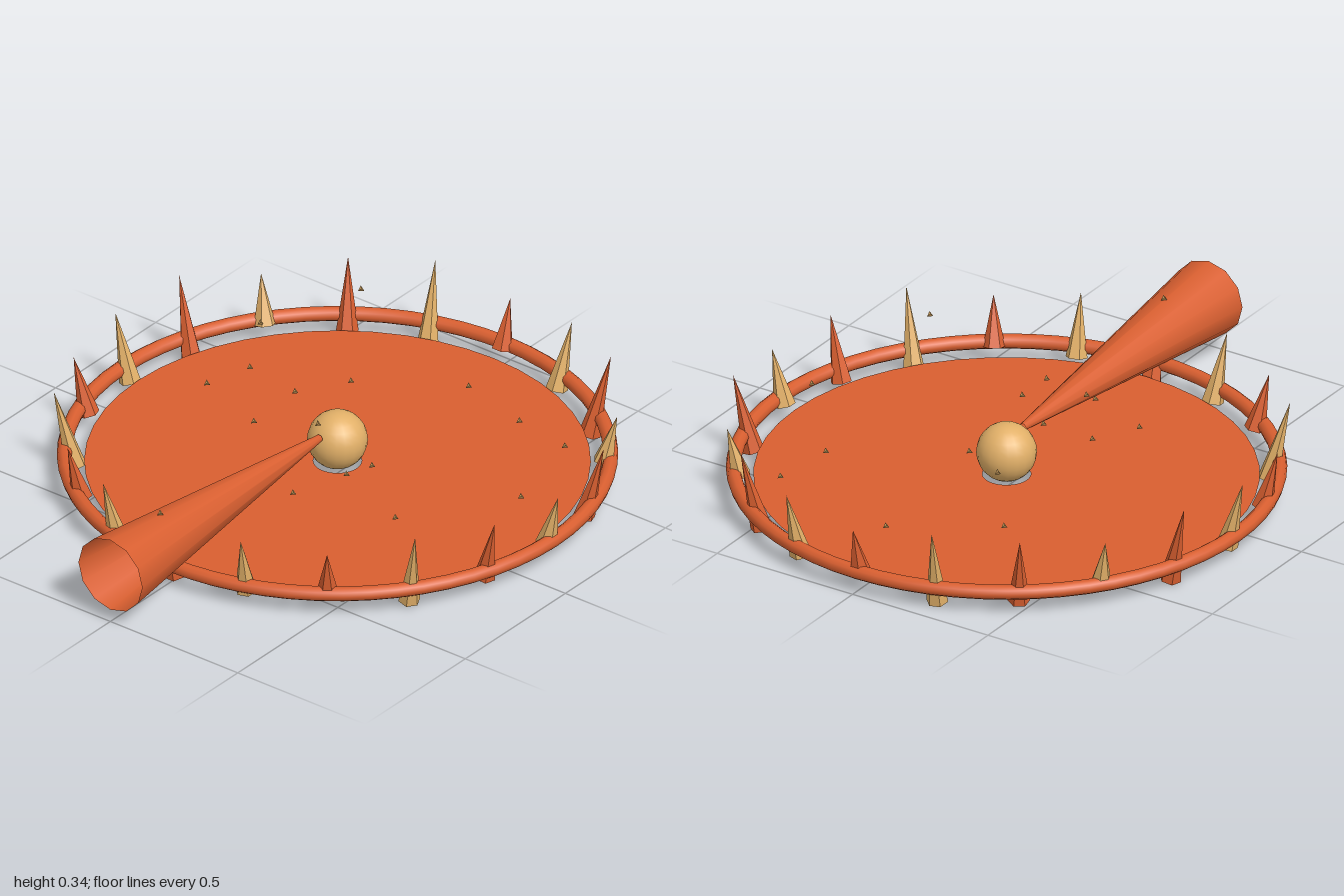
import * as THREE from 'three';

const red = new THREE.MeshStandardMaterial({ color: 0xd95f30, side: THREE.DoubleSide });
const redFlat = new THREE.MeshStandardMaterial({ color: 0xd95f30, flatShading: true });
const tan = new THREE.MeshStandardMaterial({ color: 0xe2b068 });
const tanFlat = new THREE.MeshStandardMaterial({ color: 0xe2b068, flatShading: true });

const CENTRE_Z = -0.135, RING_Y = 0.068, RING_R = 0.843, LEAN = 0.25;

function add(parent, name, geometry, material, x, y, z) {
  const mesh = new THREE.Mesh(geometry, material);
  mesh.name = name;
  mesh.position.set(x, y, z);
  parent.add(mesh);
  return mesh;
}

export function createModel() {
  const model = new THREE.Group();
  model.name = 'spikedRing';

  // Flat disc with a small hole in the middle
  add(model, 'disc', new THREE.RingGeometry(0.075, 0.782, 48).rotateX(-Math.PI / 2), red, 0, 0.043, CENTRE_Z);

  // Round rim
  add(model, 'rim', new THREE.TorusGeometry(RING_R, 0.0235, 10, 64).rotateX(Math.PI / 2), red, 0, RING_Y, CENTRE_Z);

  // Core ball above the hole
  add(model, 'core', new THREE.SphereGeometry(0.094, 20, 14), tan, 0, 0.121, CENTRE_Z);

  // Open beam widening towards the front
  const beam = new THREE.CylinderGeometry(0.125, 0.012, 1.045, 12, 1, true).rotateX(Math.PI / 2);
  add(model, 'beam', beam, red, 0, 0.166, 0.4775);

  // Spikes: tip heights counted from +x towards +z, alternating colours, leaning outwards
  const tips = [0.23, 0.246, 0.27, 0.22, 0.24, 0.262, 0.25, 0.23, 0.27, 0.235,
    0.253, 0.273, 0.22, 0.255, 0.272, 0.22, 0.25, 0.274, 0.22, 0.266];
  const spikes = new THREE.Group();
  spikes.name = 'spikes';
  spikes.position.set(0, 0.14, CENTRE_Z);
  model.add(spikes);
  tips.forEach((tip, i) => {
    const arm = new THREE.Group();
    arm.name = 'spikeArm';
    arm.rotation.y = -i / tips.length * Math.PI * 2;
    const height = (tip - 0.14) * 2 / Math.cos(LEAN);
    const cone = new THREE.ConeGeometry(0.035, height, 6);
    const spike = add(arm, 'spike', cone, i % 2 ? redFlat : tanFlat, RING_R, 0, 0);
    spike.rotation.z = -LEAN;
    spikes.add(arm);
  });

  // Tiny floating sparks
  const sparks = new THREE.Group();
  sparks.name = 'sparks';
  model.add(sparks);
  const sparkGeometry = new THREE.TetrahedronGeometry(0.012);
  [
    [-0.28, 0.333, -0.61], [-0.4, 0.333, -0.26], [-0.26, 0.333, -0.03], [-0.06, 0.333, 0],
    [-0.39, 0.25, 0.02], [-0.135, 0.25, 0.11], [0.565, 0.25, 0.295], [0.03, 0.25, 0],
    [0.42, 0.165, -0.51], [0.705, 0.165, -0.155], [0, 0.27, 0.75],
    [0.08, 0.08, -0.69], [-0.225, 0.08, -0.49], [0.535, 0.08, -0.59],
    [0.14, 0.08, -0.13], [0.11, 0.08, -0.04], [0.05, 0.08, 0.15],
  ].forEach((p) => add(sparks, 'spark', sparkGeometry, tanFlat, ...p));

  return model;
}
